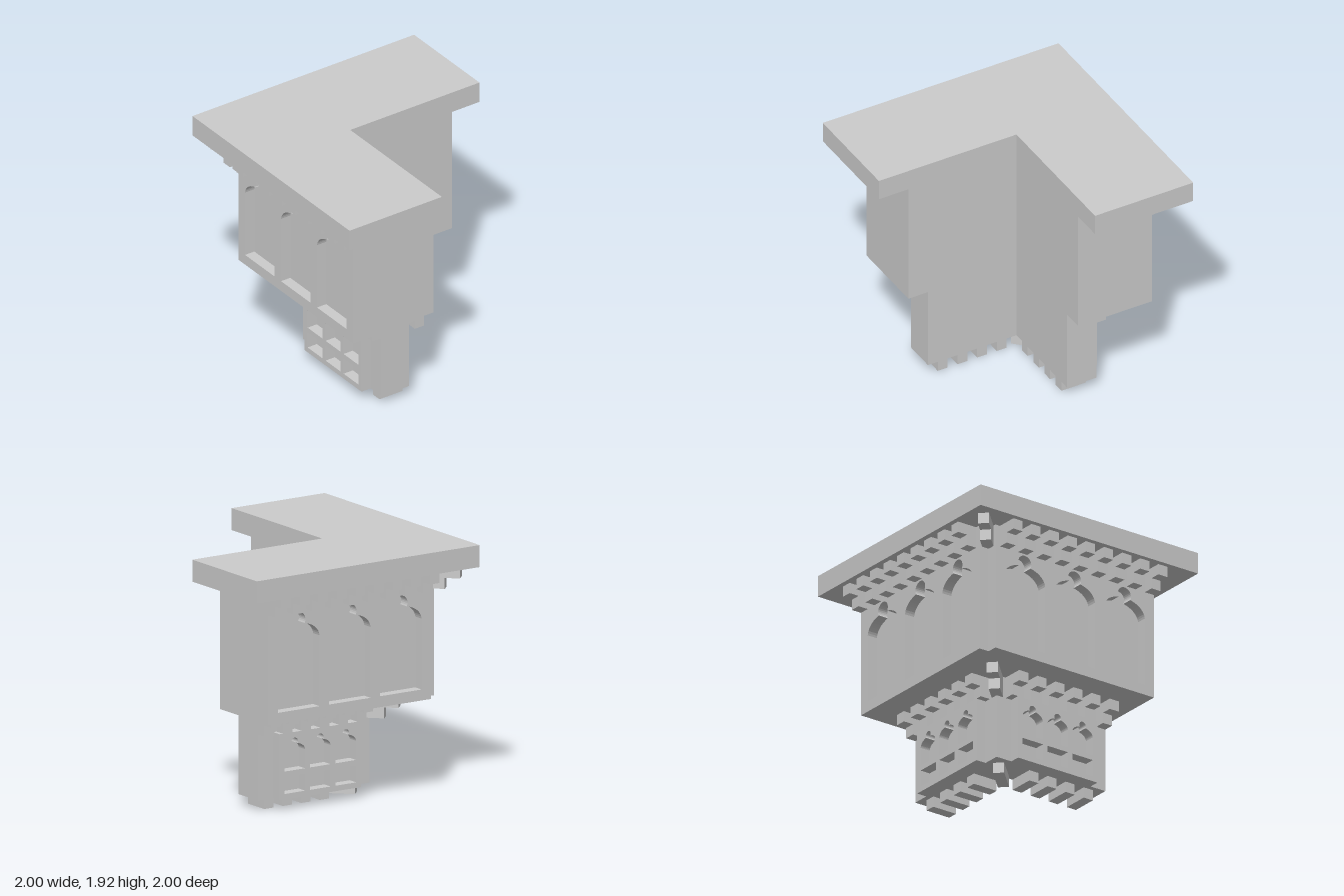
import * as THREE from 'three';

const U = 1 / 12; // building module
const material = new THREE.MeshStandardMaterial({ color: 0xcccccc, flatShading: true });

function add(parent, name, geometry) {
  const mesh = new THREE.Mesh(geometry, material);
  mesh.name = name;
  parent.add(mesh);
  return mesh;
}

// box given by its limits
function box(parent, name, x0, x1, y0, y1, z0, z1) {
  const mesh = add(parent, name, new THREE.BoxGeometry(Math.abs(x1 - x0), y1 - y0, Math.abs(z1 - z0)));
  mesh.position.set((x0 + x1) / 2, (y0 + y1) / 2, (z0 + z1) / 2);
}

// L-shaped storey: outer faces at -outer, arms ending at +end
function storey(parent, name, outer, end, y0, y1) {
  const inner = -2 * U;
  const s = new THREE.Shape();
  [[-outer, -outer], [end, -outer], [end, inner], [inner, inner], [inner, end], [-outer, end]]
    .forEach(([x, z], i) => (i ? s.lineTo(x, -z) : s.moveTo(x, -z)));
  const g = new THREE.ExtrudeGeometry(s, { depth: y1 - y0, bevelEnabled: false });
  g.rotateX(-Math.PI / 2);
  add(parent, name, g).position.y = y0;
}

// keyhole-headed arch; k scales the head
function archHole(cx, w, y0, spring, k) {
  const p = new THREE.Path();
  const r = 0.06 * k, cy = spring + 0.14 * k, a = -0.5;
  const nx = r * Math.cos(a), ny = cy + r * Math.sin(a);
  p.moveTo(cx - w / 2, y0);
  p.lineTo(cx + w / 2, y0);
  p.lineTo(cx + w / 2, spring);
  p.quadraticCurveTo(cx + w / 2 - 0.015 * k, spring + 0.085 * k, cx + nx, ny);
  p.absarc(cx, cy, r, a, Math.PI - a, false);
  p.quadraticCurveTo(cx - w / 2 + 0.015 * k, spring + 0.085 * k, cx - w / 2, spring);
  p.closePath();
  return p;
}

function rectShape(Type, x0, x1, y0, y1) {
  const p = new Type();
  p.moveTo(x0, y0);
  p.lineTo(x1, y0);
  p.lineTo(x1, y1);
  p.lineTo(x0, y1);
  p.closePath();
  return p;
}

// pierced plate with three bays, its outer face at z = -outer
function screen(parent, name, c, half, y0, y1, outer, holes) {
  const s = rectShape(THREE.Shape, c - half, c + half, y0, y1);
  s.holes.push(...holes);
  const g = new THREE.ExtrudeGeometry(s, { depth: U, bevelEnabled: false, curveSegments: 10 });
  add(parent, name, g).position.z = -outer;
}

// one arm along x facing -z; m = -1 reverses it for the other arm
function arm(name, m) {
  const g = new THREE.Group();
  g.name = name;

  // upper arcade
  const uc = 0.25 * U * m;
  screen(g, 'upperArcade', uc, 8.75 * U, 9 * U, 21 * U, 9.5 * U,
    [-1, 0, 1].map(i => archHole(uc + i * 5.5 * U, 4.5 * U, 10 * U, 1.37, 1)));

  // lower window screen: square lights under small arches
  const lc = U * m;
  const lights = [-1, 0, 1].flatMap(i => {
    const x = lc + i * 2.75 * U, w = 2.25 * U;
    return [rectShape(THREE.Path, x - w / 2, x + w / 2, 0.125, 0.255), archHole(x, w, 0.295, 0.44, 0.5)];
  });
  screen(g, 'lowerScreen', lc, 4.375 * U, U, 7 * U, 6 * U, lights);

  // stepped brackets under the roof
  for (let i = 0; i < 9; i++) {
    const a = (9 - 2 * i) * U * m, b = a - U * m;
    box(g, 'roofBracketTop', a, b, 20 * U, 21 * U, -11.5 * U, -8.5 * U);
    box(g, 'roofBracketFoot', a, b, 19 * U, 20 * U, -10.5 * U, -9 * U);
  }
  // stepped brackets under the upper storey
  for (let i = 0; i < 6; i++) {
    const a = (7 - 2 * i) * U * m, b = a - U * m;
    box(g, 'storeyBracketTop', a, b, 8 * U, 9 * U, -7 * U, -5 * U);
    box(g, 'storeyBracketFoot', a, b, 7 * U, 8 * U, -6 * U, -5 * U);
  }
  // joist ends along the base
  for (let i = 0; i < 4; i++) {
    const a = (6 - 2 * i) * U * m;
    box(g, 'baseJoist', a, a - U * m, 0, U, -4.5 * U, -2 * U);
  }
  return g;
}

// beam on the corner diagonal, running from -p to -q on both axes
function diagonal(parent, name, p, q, y0) {
  const mesh = add(parent, name, new THREE.BoxGeometry((q - p) * Math.SQRT2, U, U));
  mesh.rotation.y = -Math.PI / 4;
  mesh.position.set(-(p + q) / 2, y0 + U / 2, -(p + q) / 2);
}

export function createModel() {
  const model = new THREE.Group();
  model.name = 'cornerBalcony';

  storey(model, 'roofSlab', 1, 1, 21 * U, 23 * U);
  storey(model, 'upperStorey', 8.5 * U, 9 * U, 9 * U, 21 * U);
  storey(model, 'lowerStorey', 5 * U, 7 * U, U, 9 * U);

  const back = arm('backArm', 1);
  const side = arm('sideArm', -1);
  side.rotation.y = Math.PI / 2;
  model.add(back, side);

  // corner brackets and joist
  diagonal(model, 'cornerRoofBracketTop', 0.66, 0.9, 20 * U);
  diagonal(model, 'cornerRoofBracketFoot', 0.66, 0.82, 19 * U);
  diagonal(model, 'cornerStoreyBracketTop', 0.38, 0.575, 8 * U);
  diagonal(model, 'cornerStoreyBracketFoot', 0.38, 0.5, 7 * U);
  diagonal(model, 'cornerJoist', 2 * U, 0.344, 0);

  return model;
}
